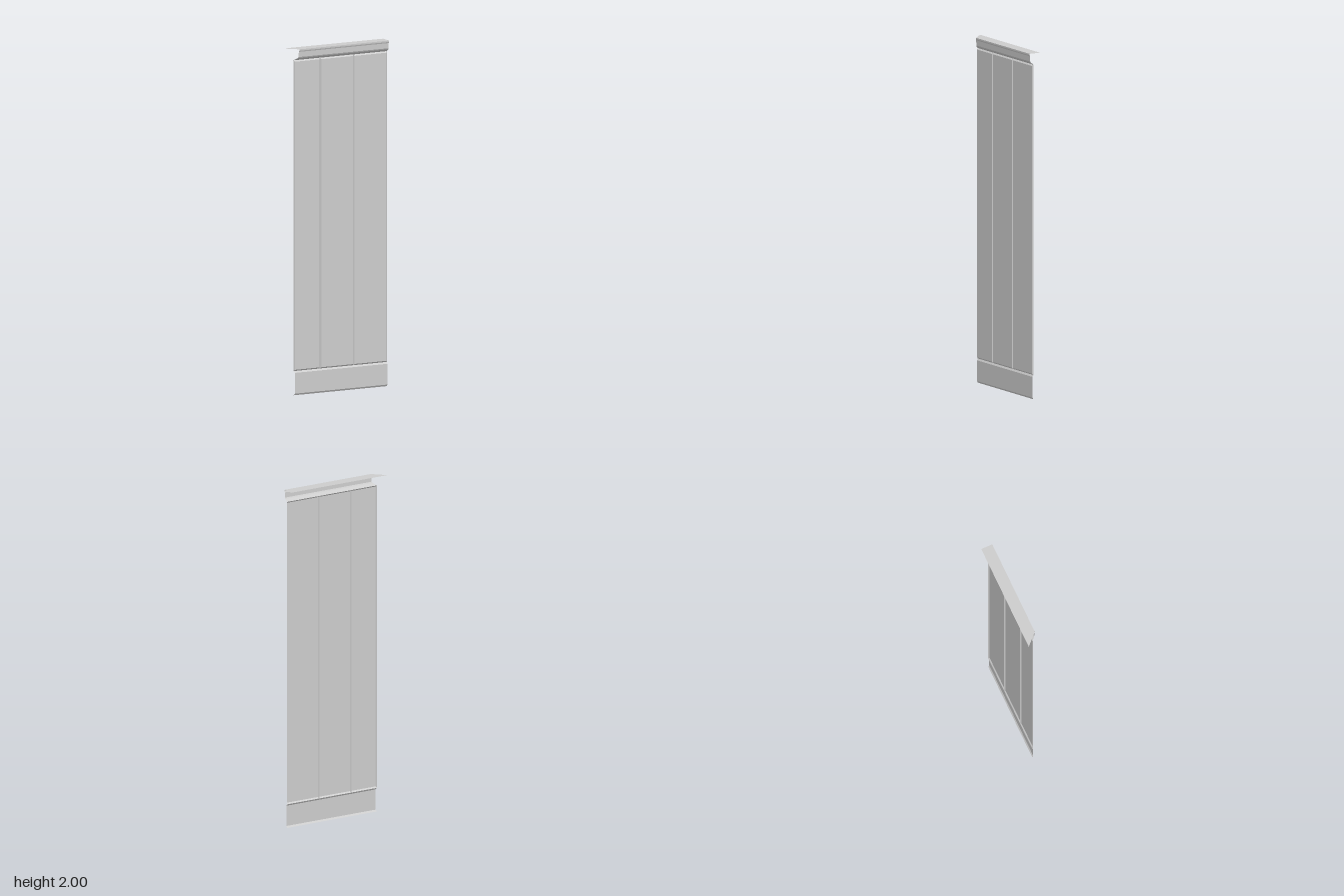
import * as THREE from 'three';

const material = new THREE.MeshStandardMaterial({ color: 0xcccccc, side: THREE.DoubleSide, flatShading: true });
const RIGHT = 0.325;
const miter = (z) => z - 0.29; // 45 degree cut at the -x end

// Joins rows of points (all the same length) into a sheet facing +z
function sheet(name, rows) {
  const n = rows[0].length;
  const index = [];
  for (let r = 0; r < rows.length - 1; r++) {
    for (let i = 0; i < n - 1; i++) {
      const a = r * n + i, b = a + 1, c = a + n, d = c + 1;
      index.push(a, c, d, a, d, b);
    }
  }
  const indexed = new THREE.BufferGeometry();
  indexed.setAttribute('position', new THREE.Float32BufferAttribute(rows.flat(2), 3));
  indexed.setIndex(index);
  const geometry = indexed.toNonIndexed();
  geometry.computeVertexNormals();
  const mesh = new THREE.Mesh(geometry, material);
  mesh.name = name;
  return mesh;
}

// Runs a [z, y] profile, top to bottom, along x with a mitred left end
const moulding = (name, profile) =>
  sheet(name, profile.map(([z, y]) => [[miter(z), y, z], [RIGHT, y, z]]));

// Raised board with a chamfer on all four sides and an open back
function board(x0, x1, y0, y1) {
  const back = 0.008, face = 0.015, bevel = 0.006;
  const xs = [x0, x0 + bevel, x1 - bevel, x1];
  const ys = [y1, y1 - bevel * 1.3, y0 + bevel * 1.3, y0];
  const inner = (i) => i === 1 || i === 2;
  // Corners of the chamfer are pulled together so the four sides meet in a mitre
  const rows = ys.map((y, r) => xs.map((x, c) => [x, y, inner(r) && inner(c) ? face : back]));
  for (const r of [0, 3]) {
    rows[r][1][0] = x0;
    rows[r][2][0] = x1;
  }
  for (const r of [1, 2]) {
    rows[r][0][1] = rows[r][3][1] = ys[r];
  }
  return sheet('board', rows);
}

export function createModel() {
  const model = new THREE.Group();
  model.name = 'wallPanel';

  // Vertical boards meeting in V grooves
  const boards = new THREE.Group();
  boards.name = 'boards';
  const seams = [miter(0.008), -0.11, 0.107, RIGHT];
  for (let i = 0; i < 3; i++) boards.add(board(seams[i], seams[i + 1], 0.14, 1.935));
  model.add(boards);

  // Cap rail: flat shelf on top, upright front, undercut back to the boards
  model.add(moulding('capRail', [
    [-0.035, 2], [0.034, 2], [0.034, 1.992], [0.031, 1.985], [0.03, 1.955], [0.026, 1.948], [0.008, 1.935],
  ]));

  // Skirting board with chamfered top and bottom edges
  model.add(moulding('skirting', [
    [0.008, 0.14], [0.015, 0.13], [0.015, 0.01], [0.008, 0],
  ]));

  return model;
}
